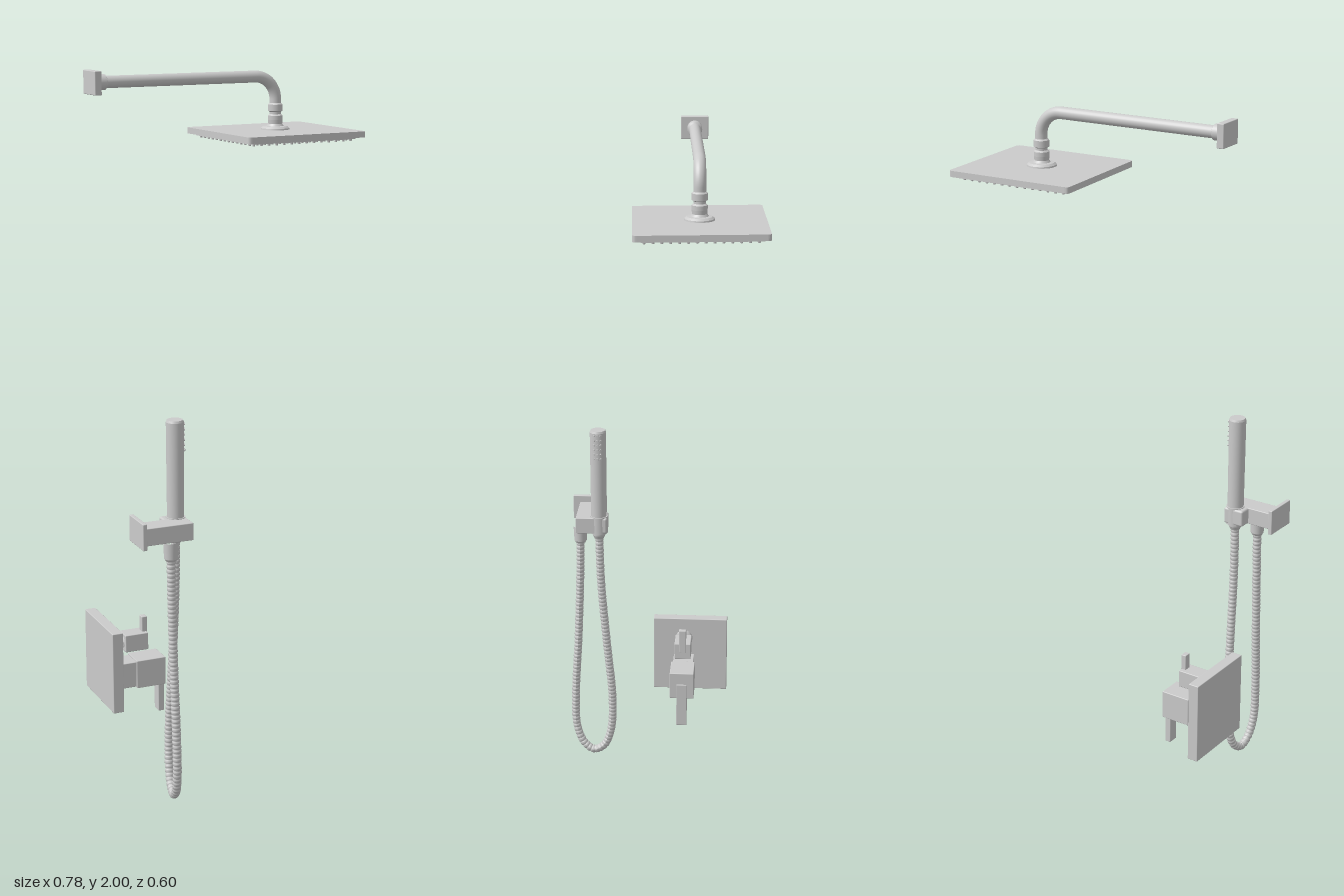
import * as THREE from 'three';
import { mergeGeometries } from 'three/addons/utils/BufferGeometryUtils.js';
import { RoundedBoxGeometry } from 'three/addons/geometries/RoundedBoxGeometry.js';

const mat = new THREE.MeshStandardMaterial({ color: 0xcccccc });
const V = (x, y, z) => new THREE.Vector3(x, y, z);

function add(parent, name, geo, x = 0, y = 0, z = 0) {
  const m = new THREE.Mesh(geo, mat);
  m.name = name;
  m.position.set(x, y, z);
  parent.add(m);
  return m;
}

// Box given by its limits on each axis, with lightly rounded edges
function block(parent, name, [x0, x1], [y0, y1], [z0, z1], r = 0.002) {
  return add(parent, name, new RoundedBoxGeometry(x1 - x0, y1 - y0, z1 - z0, 2, r),
    (x0 + x1) / 2, (y0 + y1) / 2, (z0 + z1) / 2);
}

// Turned part: each profile segment is its own lathe so that edges stay crisp
function turned(profile, sides = 32) {
  const parts = [];
  for (let i = 1; i < profile.length; i++) {
    parts.push(new THREE.LatheGeometry(
      [profile[i - 1], profile[i]].map(([r, y]) => new THREE.Vector2(r, y)), sides));
  }
  return mergeGeometries(parts);
}

// Head outline is a slightly skewed square: centre plus two side vectors
const headX = 0.1835, headZ = -0.114;
const headPoint = (u, v) => new THREE.Vector2(u * 0.374 + v * 0.039, -u * 0.03 + v * 0.35);

function headPlate(scale, top, thickness) {
  const s = new THREE.Shape();
  const h = scale / 2, c = 0.03;
  const corners = [[-h, -h], [h, -h], [h, h], [-h, h]];
  corners.forEach(([u, v], i) => {
    const [pu, pv] = corners[(i + 3) % 4], [nu, nv] = corners[(i + 1) % 4];
    const a = headPoint(u + (pu - u) * c, v + (pv - v) * c);
    const b = headPoint(u + (nu - u) * c, v + (nv - v) * c);
    const k = headPoint(u, v);
    if (i === 0) s.moveTo(a.x, a.y); else s.lineTo(a.x, a.y);
    s.quadraticCurveTo(k.x, k.y, b.x, b.y);
  });
  s.closePath();
  const g = new THREE.ExtrudeGeometry(s, { depth: thickness, bevelEnabled: false, curveSegments: 6 });
  return g.rotateX(Math.PI / 2).translate(0, top, 0);
}

function rainShower() {
  const g = new THREE.Group();
  g.name = 'rainShower';

  // Wall flange and bent arm, turned slightly away from square
  const arm = new THREE.Group();
  arm.name = 'showerArm';
  arm.position.set(-0.376, 1.968, -0.074);
  arm.rotation.y = 0.072;
  g.add(arm);
  block(arm, 'armWallFlange', [-0.011, 0.009], [-0.032, 0.032], [-0.039, 0.039]);
  const collar = turned([[0, 0], [0.021, 0], [0.021, 0.025], [0.0165, 0.028]]);
  add(arm, 'armCollar', collar.rotateZ(-Math.PI / 2), 0.009, 0, 0);
  const L = 0.561, R = 0.065;
  const path = new THREE.CurvePath();
  path.add(new THREE.LineCurve3(V(0, 0, 0), V(L - R, 0, 0)));
  const k = R * 0.5523;
  path.add(new THREE.CubicBezierCurve3(V(L - R, 0, 0), V(L - R + k, 0, 0), V(L, -R + k, 0), V(L, -R, 0)));
  path.add(new THREE.LineCurve3(V(L, -R, 0), V(L, -0.095, 0)));
  add(arm, 'armPipe', new THREE.TubeGeometry(path, 100, 0.0165, 24));

  // Swivel joint between arm and head
  add(g, 'swivelJoint', turned([
    [0.041, 1.818], [0.04, 1.823], [0.034, 1.828], [0.024, 1.829], [0.02, 1.835], [0.021, 1.846],
    [0.021, 1.858], [0.016, 1.862], [0.016, 1.868], [0.021, 1.871], [0.021, 1.889], [0.0165, 1.893]]),
    headX, 0, headZ);

  // Thin head with a recessed spray panel and rows of nozzles
  add(g, 'showerHead', headPlate(1, 1.819, 0.017), headX, 0, headZ);
  add(g, 'sprayPanel', headPlate(0.9, 1.803, 0.006), headX, 0, headZ);
  const nozzles = [], n = 14;
  for (let i = 0; i < n; i++) for (let j = 0; j < n; j++) {
    const p = headPoint((i / (n - 1) - 0.5) * 0.83, (j / (n - 1) - 0.5) * 0.83);
    nozzles.push(new THREE.CylinderGeometry(0.005, 0.0035, 0.007, 8).translate(p.x, 1.7945, p.y));
  }
  add(g, 'headNozzles', mergeGeometries(nozzles), headX, 0, headZ);
  return g;
}

function handShower() {
  const g = new THREE.Group();
  g.name = 'handShower';
  const hx = -0.26, hz = 0.203;

  // Wall bracket with cradle and water outlet
  block(g, 'bracketWallPlate', [-0.39, -0.378], [0.762, 0.836], [0.19, 0.293]);
  block(g, 'bracketArm', [-0.38, -0.236], [0.767, 0.816], [0.211, 0.272]);
  block(g, 'cradle', [-0.299, -0.236], [0.767, 0.816], [0.177, 0.24], 0.006);
  add(g, 'cradleRing', turned([[0, 0.764], [0.027, 0.764], [0.027, 0.818], [0, 0.818]]), hx, 0, hz);
  add(g, 'waterOutlet', turned([[0, 0.715], [0.015, 0.715], [0.019, 0.722], [0.021, 0.768]]), -0.299, 0, 0.264);

  // Wand with spray nozzles on its outer side
  add(g, 'wand', turned([
    [0.02, 0.81], [0.0235, 0.818], [0.0245, 1.084], [0.022, 1.09], [0, 1.09]]), hx, 0, hz);
  const nozzles = [];
  for (let row = 0; row < 6; row++) for (let col = -1; col <= 1; col++) {
    nozzles.push(new THREE.CylinderGeometry(0.003, 0.004, 0.008, 8).rotateZ(-Math.PI / 2)
      .translate(0.0235, 0, 0).rotateY(col * 0.42).translate(0, 1.005 + row * 0.0145, 0));
  }
  add(g, 'wandNozzles', mergeGeometries(nozzles), hx, 0, hz);
  add(g, 'hoseNut', turned([[0, 0.745], [0.014, 0.745], [0.019, 0.756], [0.02, 0.768]]), hx, 0, hz);

  // Ribbed hose hanging in a loop
  const curve = new THREE.CatmullRomCurve3([
    V(-0.299, 0.73, 0.264), V(-0.299, 0.6, 0.267), V(-0.298, 0.4, 0.275), V(-0.296, 0.2, 0.286),
    V(-0.294, 0.09, 0.283), V(-0.289, 0.032, 0.26), V(-0.284, 0.0125, 0.229), V(-0.279, 0.032, 0.196),
    V(-0.274, 0.09, 0.174), V(-0.27, 0.2, 0.168), V(-0.265, 0.4, 0.184), V(-0.262, 0.6, 0.199),
    V(-0.26, 0.76, 0.203)]);
  const rings = 600, sides = 12;
  const hose = new THREE.TubeGeometry(curve, rings, 0.0125, sides);
  const pos = hose.attributes.position, p = new THREE.Vector3(), c = new THREE.Vector3();
  for (let i = 0; i <= rings; i++) {
    curve.getPointAt(i / rings, c);
    const s = i % 5 === 0 ? 0.78 : 1;
    for (let j = 0; j <= sides; j++) {
      const id = i * (sides + 1) + j;
      p.fromBufferAttribute(pos, id).sub(c).multiplyScalar(s).add(c);
      pos.setXYZ(id, p.x, p.y, p.z);
    }
  }
  hose.computeVertexNormals();
  add(g, 'hose', hose);
  return g;
}

function mixerValve() {
  const g = new THREE.Group();
  g.name = 'mixerValve';
  const z = -0.052;
  block(g, 'valvePlate', [-0.39, -0.358], [0.199, 0.439], [-0.186, 0.044]);

  // Temperature control: stem, square knob and hanging lever
  block(g, 'valveStem', [-0.36, -0.29], [0.242, 0.318], [z - 0.032, z + 0.032]);
  block(g, 'valveKnob', [-0.295, -0.206], [0.238, 0.322], [z - 0.037, z + 0.037]);
  block(g, 'valveLever', [-0.221, -0.203], [0.147, 0.285], [z - 0.016, z + 0.016]);

  // Diverter: turned neck, small square knob and upright lever
  const neck = turned([[0.026, 0], [0.026, 0.014], [0.013, 0.02], [0.013, 0.032], [0.02, 0.036], [0.02, 0.05]]);
  add(g, 'diverterNeck', neck.rotateZ(-Math.PI / 2), -0.359, 0.375, z);
  block(g, 'diverterKnob', [-0.324, -0.254], [0.349, 0.4], [z - 0.025, z + 0.025]);
  block(g, 'diverterLever', [-0.268, -0.252], [0.37, 0.445], [z - 0.011, z + 0.011]);
  return g;
}

export function createModel() {
  const model = new THREE.Group();
  model.name = 'showerSet';
  model.add(rainShower(), handShower(), mixerValve());
  return model;
}
